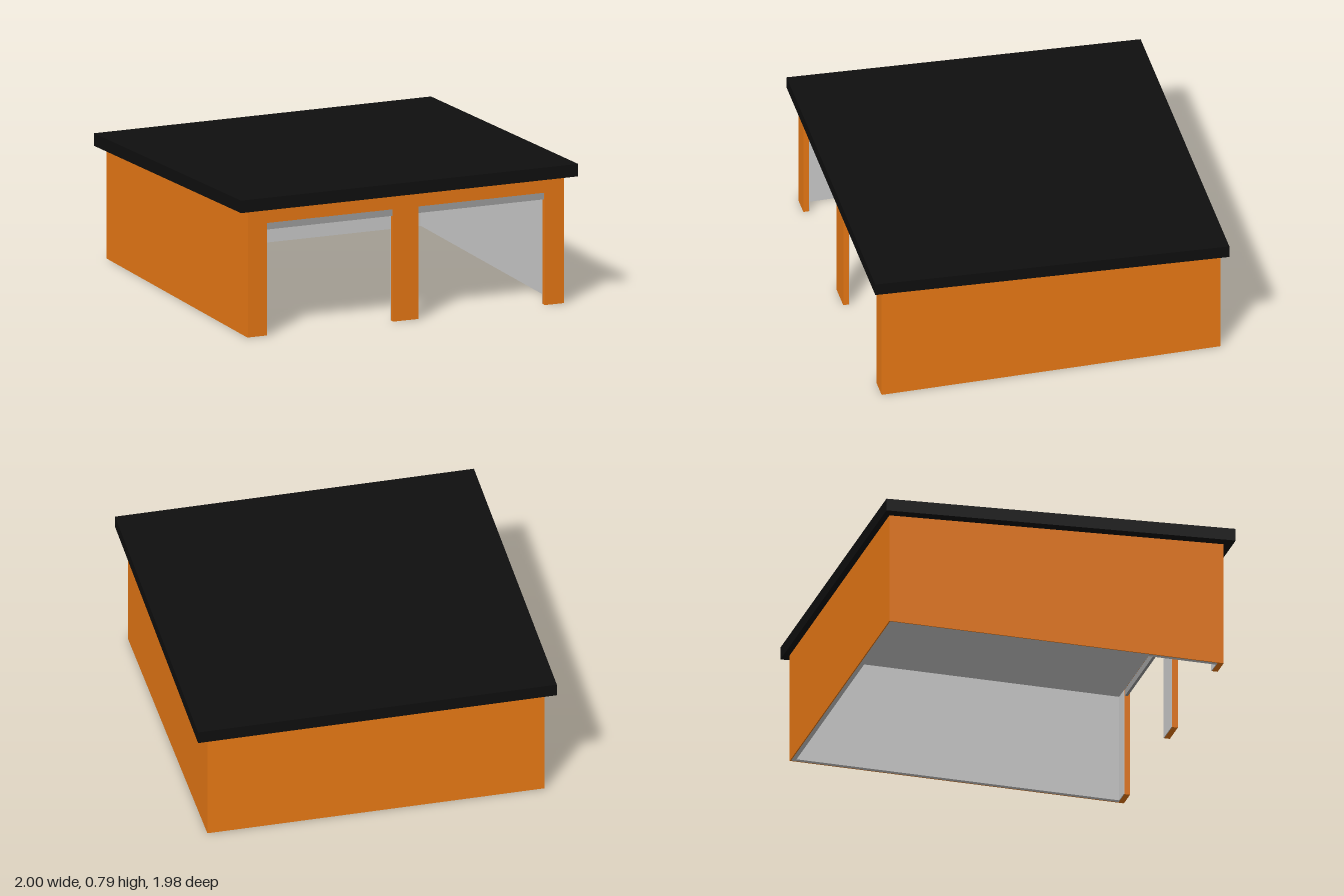
import * as THREE from 'three';

const paint = (color) => new THREE.MeshStandardMaterial({ color });

export function createModel() {
  const garage = new THREE.Group();
  garage.name = 'garage';
  const orange = paint(0xe97915), grey = paint(0xcccccc);
  const doorGrey = paint(0x9e9e9e), black = paint(0x0f0f0f);

  const add = (name, geometry, material) => {
    const mesh = new THREE.Mesh(geometry, material);
    mesh.name = name;
    garage.add(mesh);
  };
  // box given by its limits on each axis
  const box = (name, material, [x0, x1], [y0, y1], [z0, z1]) => {
    const g = new THREE.BoxGeometry(x1 - x0, y1 - y0, z1 - z0);
    add(name, g.translate((x0 + x1) / 2, (y0 + y1) / 2, (z0 + z1) / 2), material);
  };
  // side profile of [z, y] points, extruded across x
  const across = (name, material, points, x0, x1) => {
    const shape = new THREE.Shape(points.map(([z, y]) => new THREE.Vector2(z, y)));
    const g = new THREE.ExtrudeGeometry(shape, { depth: x1 - x0, bevelEnabled: false });
    add(name, g.rotateY(-Math.PI / 2).translate(x1, 0, 0), material);
  };
  // front panel with two door openings
  const frontPanel = (name, material, halfWidth, top, z, depth) => {
    const shape = new THREE.Shape();
    const outline = [[-halfWidth, 0], [-0.825, 0], [-0.825, 0.63], [-0.075, 0.63], [-0.075, 0],
      [0.075, 0], [0.075, 0.63], [0.825, 0.63], [0.825, 0], [halfWidth, 0],
      [halfWidth, top], [-halfWidth, top]];
    shape.setFromPoints(outline.map(([x, y]) => new THREE.Vector2(x, y)));
    const g = new THREE.ExtrudeGeometry(shape, { depth, bevelEnabled: false });
    add(name, g.translate(0, 0, z), material);
  };

  // sloping flat roof with an overhang on all sides
  across('roof', black, [[-0.99, 0.63], [0.99, 0.715], [0.99, 0.785], [-0.99, 0.70]], -1, 1);

  // side walls: coloured skin over a grey lining
  const wallProfile = [[-0.955, 0], [0.938, 0], [0.938, 0.713], [-0.955, 0.632]];
  for (const [side, s] of [['left', 1], ['right', -1]]) {
    const span = (a, b) => [s * a, s * b].sort((p, q) => p - q);
    across(`${side}Wall`, orange, wallProfile, ...span(0.934, 0.94));
    box(`${side}WallLining`, grey, span(0.91, 0.934), [0, 0.63], [-0.949, 0.908]);
    // raised door, its lower edge showing below the header
    box(`${side}DoorEdge`, doorGrey, span(0.075, 0.825), [0.59, 0.635], [0.912, 0.928]);
  }

  // back wall
  box('backWall', orange, [-0.938, 0.938], [0, 0.632], [-0.955, -0.949]);
  box('backWallLining', grey, [-0.934, 0.934], [0, 0.63], [-0.949, -0.925]);

  // front wall with posts and header
  frontPanel('frontWall', orange, 0.938, 0.713, 0.908, 0.032);
  frontPanel('frontWallLining', grey, 0.932, 0.65, 0.904, 0.004);

  // flat ceiling
  box('ceiling', grey, [-0.93, 0.93], [0.62, 0.63], [-0.945, 0.905]);

  return garage;
}
